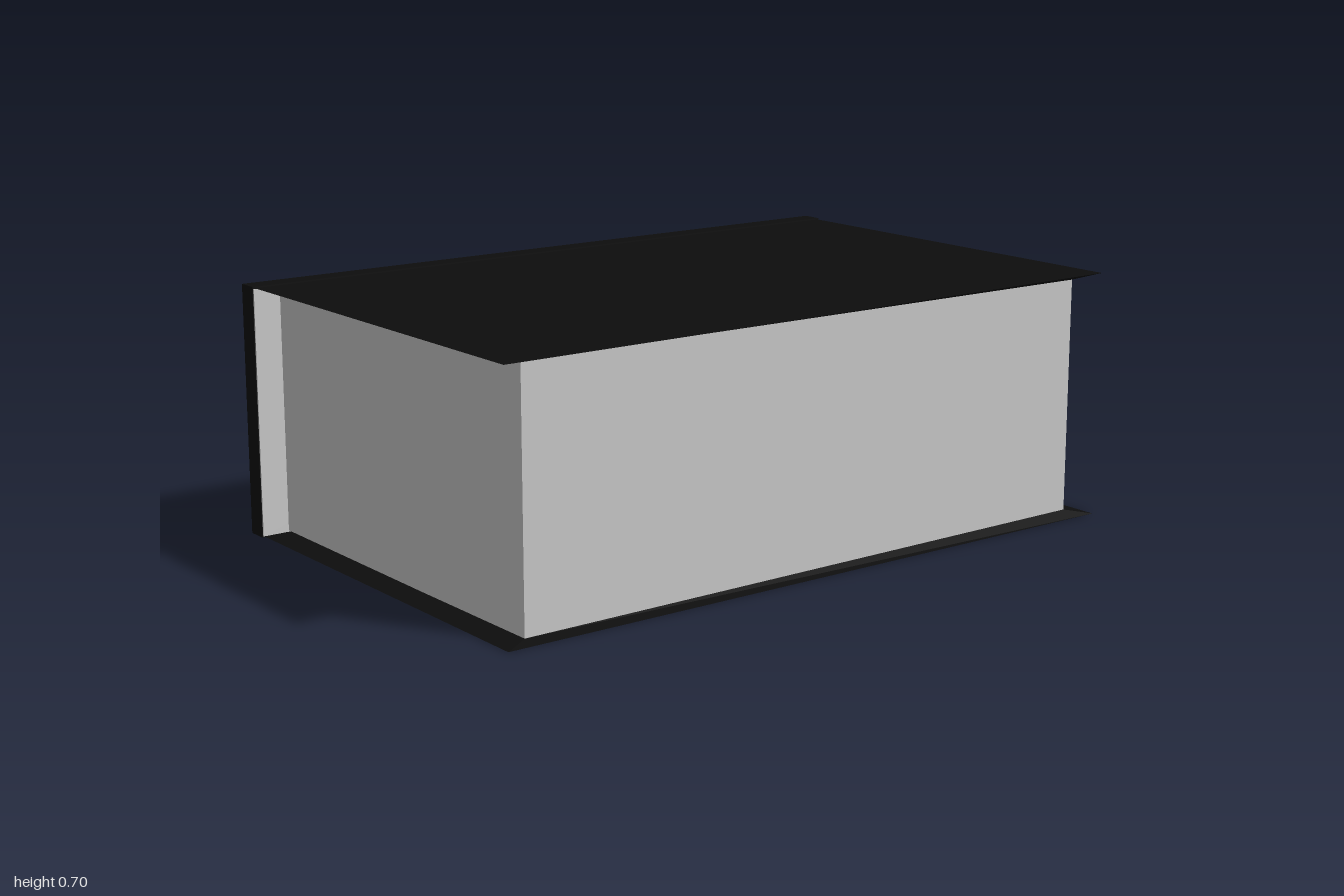
import * as THREE from 'three';

const black = new THREE.MeshStandardMaterial({ color: 0x0d0d0d });
black.name = 'black cover';
const paper = new THREE.MeshStandardMaterial({ color: 0xcacaca });
paper.name = 'pale paper';

// Box given by its lower and upper corners
function box(name, material, [x0, y0, z0], [x1, y1, z1]) {
  const geometry = new THREE.BoxGeometry(x1 - x0, y1 - y0, z1 - z0);
  geometry.translate((x0 + x1) / 2, (y0 + y1) / 2, (z0 + z1) / 2);
  const mesh = new THREE.Mesh(geometry, material);
  mesh.name = name;
  return mesh;
}

// Thin board with knife edges: flat outside, inside sloping to the page block.
// Each inner corner is [x, z, depth]; side is 1 for the upper board, -1 for the lower.
function coverBoard(name, side) {
  const mid = 0.35, half = 0.348;
  const outer = [[-0.58, -0.997], [-0.58, 0.993], [0.64, 0.993], [0.64, -0.997]];
  const inner = [[-0.57, -0.92, 0.01], [-0.57, 0.92, 0.003], [0.6, 0.92, 0.008], [0.6, -0.92, 0.016]];
  const points = [
    ...outer.map(([x, z]) => [x, mid + side * half, z]),
    ...inner.map(([x, z, depth]) => [x, mid + side * (half - depth), z]),
  ];
  const index = [];
  const quad = (a, b, c, d) =>
    index.push(...(side > 0 ? [a, b, c, a, c, d] : [a, c, b, a, d, c]));
  quad(0, 1, 2, 3);
  quad(7, 6, 5, 4);
  for (let i = 0; i < 4; i++) {
    const j = (i + 1) % 4;
    quad(j, i, i + 4, j + 4);
  }
  const indexed = new THREE.BufferGeometry();
  indexed.setAttribute('position', new THREE.Float32BufferAttribute(points.flat(), 3));
  indexed.setIndex(index);
  const geometry = indexed.toNonIndexed();
  geometry.computeVertexNormals();
  const mesh = new THREE.Mesh(geometry, black);
  mesh.name = name;
  return mesh;
}

export function createModel() {
  const book = new THREE.Group();
  book.name = 'book';
  book.add(
    box('spine', black, [-0.64, 0, -1], [-0.58, 0.702, 1]),
    // Pale inner face of the spine
    box('spineLining', paper, [-0.58, 0.004, -0.998], [-0.576, 0.696, 0.998]),
    box('pageBlock', paper, [-0.576, 0.008, -0.92], [0.6, 0.692, 0.92]),
    coverBoard('upperCover', 1),
    coverBoard('lowerCover', -1),
  );
  return book;
}
